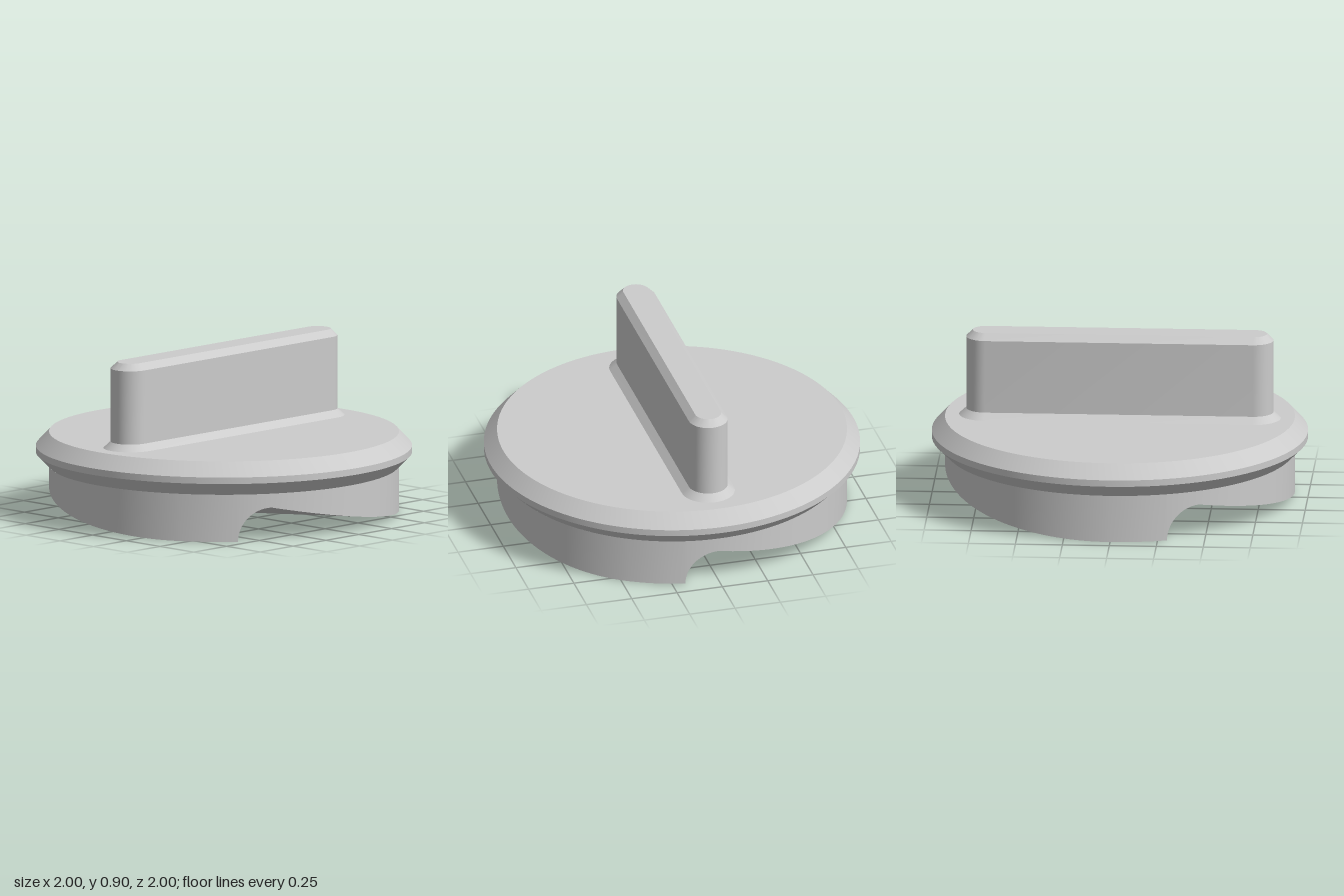
import * as THREE from 'three';
import { toCreasedNormals } from 'three/addons/utils/BufferGeometryUtils.js';

const R = 0.93;        // radius of the lower drum
const NOTCH = 0.18;    // notch height and radius of its rounded side
const RIM_Y = 0.255;   // underside of the rim
const material = new THREE.MeshStandardMaterial({ color: 0xcccccc });

function addMesh(group, geometry, name, crease) {
  const mesh = new THREE.Mesh(toCreasedNormals(geometry, crease), material);
  mesh.name = name;
  group.add(mesh);
}

// Skins closed rings stacked upwards; points run from +x towards +z.
// bottom / top are optional centre points that close the ends.
function loft(rings, bottom, top) {
  const n = rings[0].length;
  const points = rings.flat();
  const index = [];
  for (let r = 0; r < rings.length - 1; r++) {
    for (let i = 0; i < n; i++) {
      const a = r * n + i, b = r * n + (i + 1) % n;
      index.push(a, a + n, b, b, a + n, b + n);
    }
  }
  const last = (rings.length - 1) * n;
  if (bottom) {
    const c = points.push(bottom) - 1;
    for (let i = 0; i < n; i++) index.push(c, i, (i + 1) % n);
  }
  if (top) {
    const c = points.push(top) - 1;
    for (let i = 0; i < n; i++) index.push(c, last + (i + 1) % n, last + i);
  }
  const geometry = new THREE.BufferGeometry();
  geometry.setAttribute('position', new THREE.Float32BufferAttribute(points.flat(), 3));
  geometry.setIndex(index);
  return geometry;
}

// Drum whose underside carries three radial ramps, each ending in a rounded step
function toothedDrum() {
  const step = Math.asin(NOTCH / R);
  const flatStart = step - Math.PI * 2 / 3;
  const profile = [];  // [angle from the notch peak, height]
  for (let i = 0; i < 4; i++) {
    profile.push([THREE.MathUtils.lerp(flatStart, -Math.PI / 2, i / 4), 0]);
  }
  for (let i = 0; i < 40; i++) {
    const a = -Math.PI / 2 * (1 - i / 40);
    profile.push([a, NOTCH * (1 + Math.sin(a))]);
  }
  for (let i = 0; i < 14; i++) {
    const t = i / 14 * Math.PI / 2;
    profile.push([Math.asin(NOTCH * Math.sin(t) / R), NOTCH * Math.cos(t)]);
  }
  const lower = [], upper = [];
  for (let k = 0; k < 3; k++) {
    for (const [a, h] of profile) {
      const phi = a + k * Math.PI * 2 / 3;
      const x = R * Math.cos(phi), z = R * Math.sin(phi);
      lower.push([x, h, z]);
      upper.push([x, RIM_Y, z]);
    }
  }
  return loft([lower, upper], [0, 0, 0], null);
}

// Outline with straight sides and half-round ends
function stadium(radius, y, halfSpan = 0.713, segments = 24) {
  const ring = [];
  for (const side of [1, -1]) {
    for (let i = 0; i <= segments; i++) {
      const a = -Math.PI / 2 + Math.PI * i / segments;
      ring.push([side * (halfSpan + radius * Math.cos(a)), y, side * radius * Math.sin(a)]);
    }
  }
  return ring;
}

export function createModel() {
  const group = new THREE.Group();
  group.name = 'twistCap';

  addMesh(group, toothedDrum(), 'toothedDrum', 0.4);

  // Rim disc with bevelled edge
  const rim = [[R, RIM_Y], [1, 0.325], [1, 0.36], [R, 0.435], [0, 0.435]]
    .map(([r, y]) => new THREE.Vector2(r, y));
  addMesh(group, new THREE.LatheGeometry(rim, 128), 'rim', 0.4);

  // Grip bar with flared foot and chamfered top
  const grip = [[0.143, 0.435], [0.105, 0.47], [0.105, 0.865], [0.07, 0.9]]
    .map(([r, y]) => stadium(r, y));
  addMesh(group, loft(grip, null, [0, 0.9, 0]), 'gripBar', 0.4);

  return group;
}
